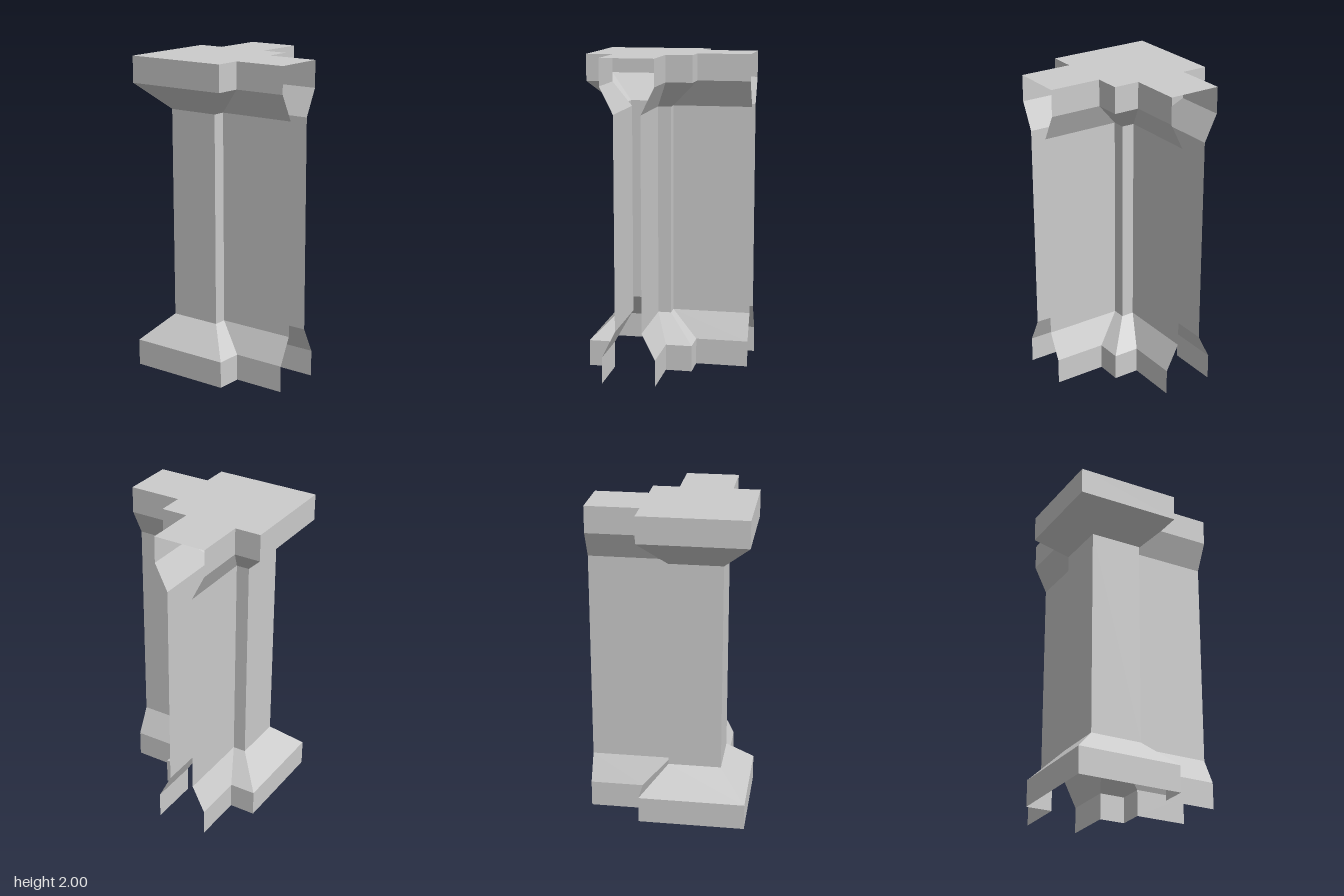
import * as THREE from 'three';

const material = new THREE.MeshStandardMaterial({ color: 0xcccccc, flatShading: true, side: THREE.DoubleSide });

// Plan outline [x, z] of a square pillar with two wall stubs (+x and -z), their ends open.
// p: pillar half width, w: wall half width
function plan(p, w) {
  const c = 1 / 6, end = 0.5;
  const outer = [
    [end, c + w], [p - c, c + w], [p - c, c + p], [-c - p, c + p],
    [-c - p, c - p], [-c - w, c - p], [-c - w, -end],
  ];
  const inner = [[w - c, -end], [w - c, c - p], [p - c, c - p], [p - c, c - w], [end, c - w]];
  return [outer, inner];
}

// Walls joining one plan at height y0 to another at height y1
function band(name, lower, y0, upper, y1) {
  const positions = [];
  lower.forEach((path, k) => {
    for (let i = 0; i < path.length - 1; i++) {
      const at = (pt, y) => [pt[0], y, pt[1]];
      const a = at(path[i], y0), b = at(path[i + 1], y0);
      const c = at(upper[k][i + 1], y1), d = at(upper[k][i], y1);
      positions.push(...a, ...d, ...c, ...a, ...c, ...b);
    }
  });
  const geometry = new THREE.BufferGeometry();
  geometry.setAttribute('position', new THREE.Float32BufferAttribute(positions, 3));
  geometry.computeVertexNormals();
  const mesh = new THREE.Mesh(geometry, material);
  mesh.name = name;
  return mesh;
}

export function createModel() {
  const model = new THREE.Group();
  model.name = 'cornerPillar';
  const wide = plan(1 / 3, 1 / 6);
  const narrow = plan(1 / 6, 1 / 12);
  const step = 1 / 6;

  // Plinth, shaft and capital, open underneath
  model.add(
    band('plinth', wide, 0, wide, step),
    band('lowerTaper', wide, step, narrow, 2 * step),
    band('shaft', narrow, 2 * step, narrow, 2 - 2 * step),
    band('upperTaper', narrow, 2 - 2 * step, wide, 2 - step),
    band('capital', wide, 2 - step, wide, 2),
  );

  // Flat top
  const shape = new THREE.Shape(wide.flat().map(([x, z]) => new THREE.Vector2(x, -z)));
  const top = new THREE.Mesh(new THREE.ShapeGeometry(shape).rotateX(-Math.PI / 2), material);
  top.position.y = 2;
  top.name = 'top';
  model.add(top);
  return model;
}
